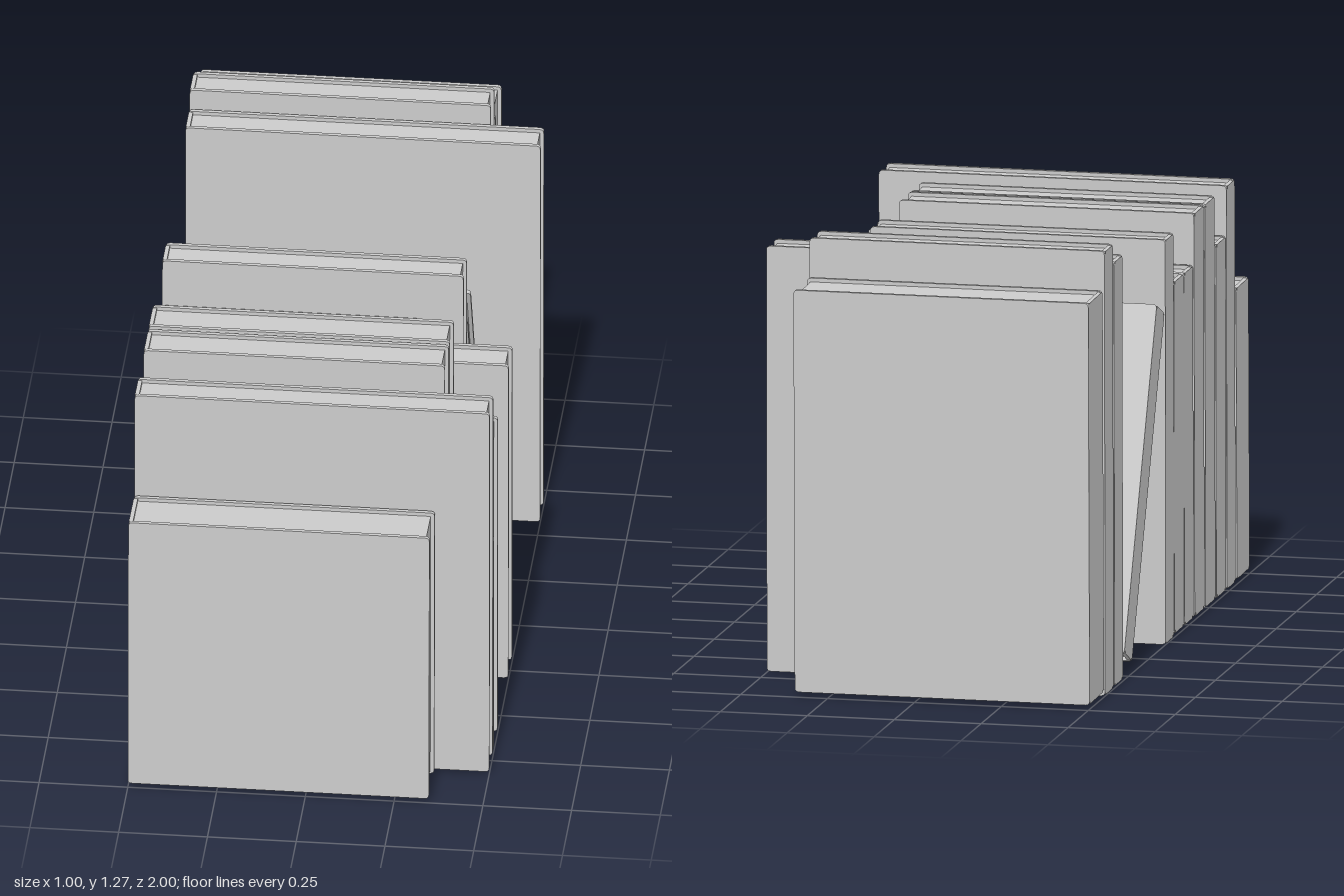
import * as THREE from 'three';

const material = new THREE.MeshStandardMaterial({ color: 0xcccccc, flatShading: true });
const SPINE_X = -0.5;
const BOARD = 0.012; // cover thickness
const INSET = 0.011; // how far the pages sit inside the cover

// one row per book: centre z, bottom y, fore edge x, height, thickness, tilt
const BOOKS = [
  [0.915, 0.012, 0.348, 0.838, 0.156, -0.018],
  [0.768, 0.008, 0.5, 1.157, 0.104, -0.009],
  [0.645, 0.008, 0.5, 1.015, 0.122, -0.006],
  [0.51, 0.008, 0.348, 1.157, 0.121, -0.01],
  [0.375, 0.008, 0.348, 1.157, 0.121, -0.01],
  [0.245, 0.008, 0.5, 1.011, 0.113, -0.006],
  [0.125, 0.008, 0.228, 1.011, 0.122, -0.006],
  [0.008, 0.001, 0.348, 1.158, 0.103, -0.006],
  [-0.304, 0.034, 0.348, 1.004, 0.105, 0.414],
  [-0.625, 0.004, 0.5, 1.217, 0.105, -0.006],
  [-0.742, 0.001, 0.348, 1.273, 0.105, -0.008],
  [-0.902, 0.012, 0.348, 1.152, 0.178, -0.015],
];

function addMesh(parent, name, geometry, x = 0, y = 0, z = 0) {
  const mesh = new THREE.Mesh(geometry, material);
  mesh.name = name;
  mesh.position.set(x, y, z);
  parent.add(mesh);
}

// flat cover board with small rounded corners, in the x-y plane
function boardGeometry(width, height) {
  const r = 0.012, w = width / 2, h = height / 2;
  const shape = new THREE.Shape();
  shape.moveTo(-w + r, -h);
  shape.lineTo(w - r, -h);
  shape.quadraticCurveTo(w, -h, w, -h + r);
  shape.lineTo(w, h - r);
  shape.quadraticCurveTo(w, h, w - r, h);
  shape.lineTo(-w + r, h);
  shape.quadraticCurveTo(-w, h, -w, h - r);
  shape.lineTo(-w, -h + r);
  shape.quadraticCurveTo(-w, -h, -w + r, -h);
  return new THREE.ExtrudeGeometry(shape, { depth: BOARD, bevelEnabled: false, curveSegments: 3 });
}

// a book centred on its own origin, spine towards -x
function makeBook(width, height, thickness) {
  const book = new THREE.Group();
  const inner = thickness - 2 * BOARD;
  const board = boardGeometry(width, height);
  addMesh(book, 'frontCover', board, 0, 0, thickness / 2 - BOARD);
  addMesh(book, 'backCover', board, 0, 0, -thickness / 2);
  addMesh(book, 'spine', new THREE.BoxGeometry(BOARD, height - 0.006, inner), -width / 2 + BOARD / 2);
  const pagesWidth = width - BOARD - INSET;
  addMesh(book, 'pages', new THREE.BoxGeometry(pagesWidth, height - 2 * INSET, inner), (BOARD - INSET) / 2);
  return book;
}

export function createModel() {
  const model = new THREE.Group();
  model.name = 'bookRow';
  BOOKS.forEach(([z, bottom, foreEdge, height, thickness, tilt], i) => {
    const width = foreEdge - SPINE_X;
    const book = makeBook(width, height, thickness);
    book.name = tilt > 0.1 ? 'leaningBook' : `book${i + 1}`;
    // lift so that the lowest tilted edge rests at the given height
    const halfRise = (height * Math.cos(tilt) + thickness * Math.abs(Math.sin(tilt))) / 2;
    book.position.set(SPINE_X + width / 2, bottom + halfRise, z);
    book.rotation.x = tilt;
    model.add(book);
  });
  return model;
}
